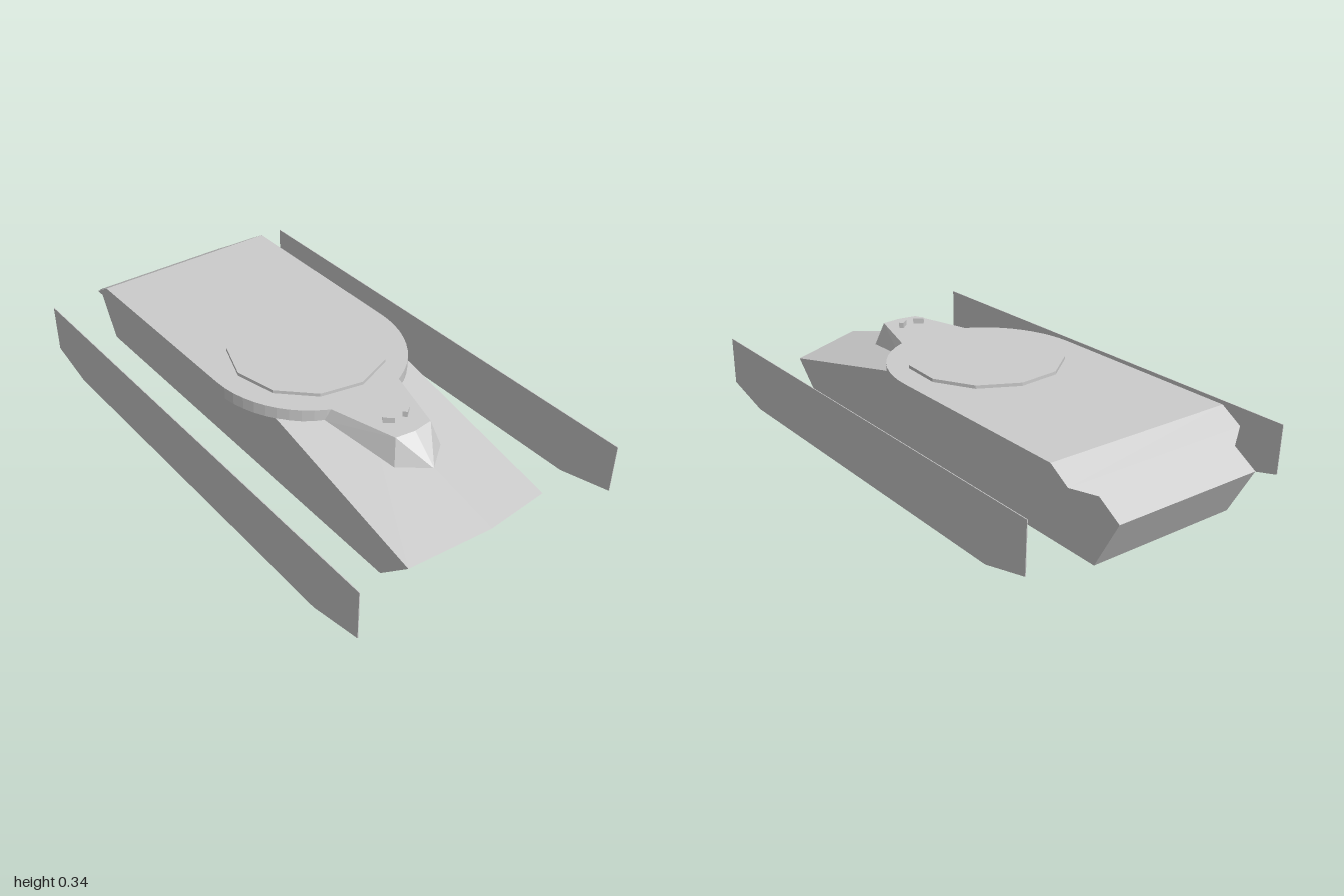
import * as THREE from 'three';
import { ConvexGeometry } from 'three/addons/geometries/ConvexGeometry.js';

const material = new THREE.MeshStandardMaterial({ color: 0xcccccc, flatShading: true });

function part(group, name, geometry) {
  const mesh = new THREE.Mesh(geometry, material);
  mesh.name = name;
  group.add(mesh);
  return mesh;
}

// Faceted solid from [x, y, z] corners, mirrored across z = 0
function mirroredSolid(corners) {
  const points = [];
  for (const [x, y, z] of corners) {
    points.push(new THREE.Vector3(x, y, z));
    if (z > 0) points.push(new THREE.Vector3(x, y, -z));
  }
  return new ConvexGeometry(points);
}

export function createModel() {
  const model = new THREE.Group();
  model.name = 'armouredHull';

  // Lower hull with pointed nose (towards +x) and sloped rear plate
  part(model, 'lowerHull', mirroredSolid([
    [-0.9, 0, 0.29], [0.8, 0, 0.29],
    [0.925, 0.118, 0.29], [0.98, 0.163, 0],
    [0.25, 0.27, 0.29], [0.35, 0.307, 0],
    [-1, 0.18, 0.29], [-0.91, 0.235, 0.29],
  ]));

  // Wide upper deck: rounded front, sloped rear, chamfered underside
  const deck = [
    [-0.78, 0.315, 0.367], [-0.86, 0.266, 0.367],
    [-0.91, 0.235, 0.29], [0.09, 0.235, 0.29],
  ];
  const steps = 14;
  for (let i = 0; i <= steps; i++) {
    const a = (i / steps) * Math.PI / 2;
    const x = 0.39 * Math.sin(a);
    const z = i === steps ? 0 : 0.367 * Math.cos(a);
    deck.push([x, 0.315, z], [x, 0.27, z]);
  }
  part(model, 'upperDeck', mirroredSolid(deck));

  // Turret ring plate
  const ring = part(model, 'turretRing', new THREE.CylinderGeometry(0.287, 0.287, 0.03, 11));
  ring.position.set(0.025, 0.312, 0);
  ring.rotation.y = -0.05;

  // Driver's hood on the sloping front
  part(model, 'driverHood', mirroredSolid([
    [0.33, 0.315, 0.155], [0.6, 0.315, 0.075], [0.61, 0.315, 0],
    [0.34, 0.27, 0.17], [0.63, 0.223, 0.1], [0.71, 0.222, 0],
    [0.33, 0.2, 0.1],
  ]));

  // Periscopes on the hood and thin side skirts
  const skirtShape = new THREE.Shape([
    [-0.895, 0.236], [-0.89, 0.05], [-0.7, 0], [0.79, 0], [1, 0.05], [1, 0.236],
  ].map(([x, y]) => new THREE.Vector2(x, y)));
  const skirtGeometry = new THREE.ExtrudeGeometry(skirtShape, { depth: 0.003, bevelEnabled: false });
  skirtGeometry.translate(0, 0, -0.0015);
  for (const side of [1, -1]) {
    const label = side > 0 ? 'left' : 'right';
    const scope = part(model, label + 'Periscope', new THREE.BoxGeometry(0.04, 0.03, 0.017));
    scope.position.set(0.521, 0.321, side * 0.037);
    scope.rotation.y = side * 0.87;
    part(model, label + 'Skirt', skirtGeometry).position.z = side * 0.544;
  }

  return model;
}
